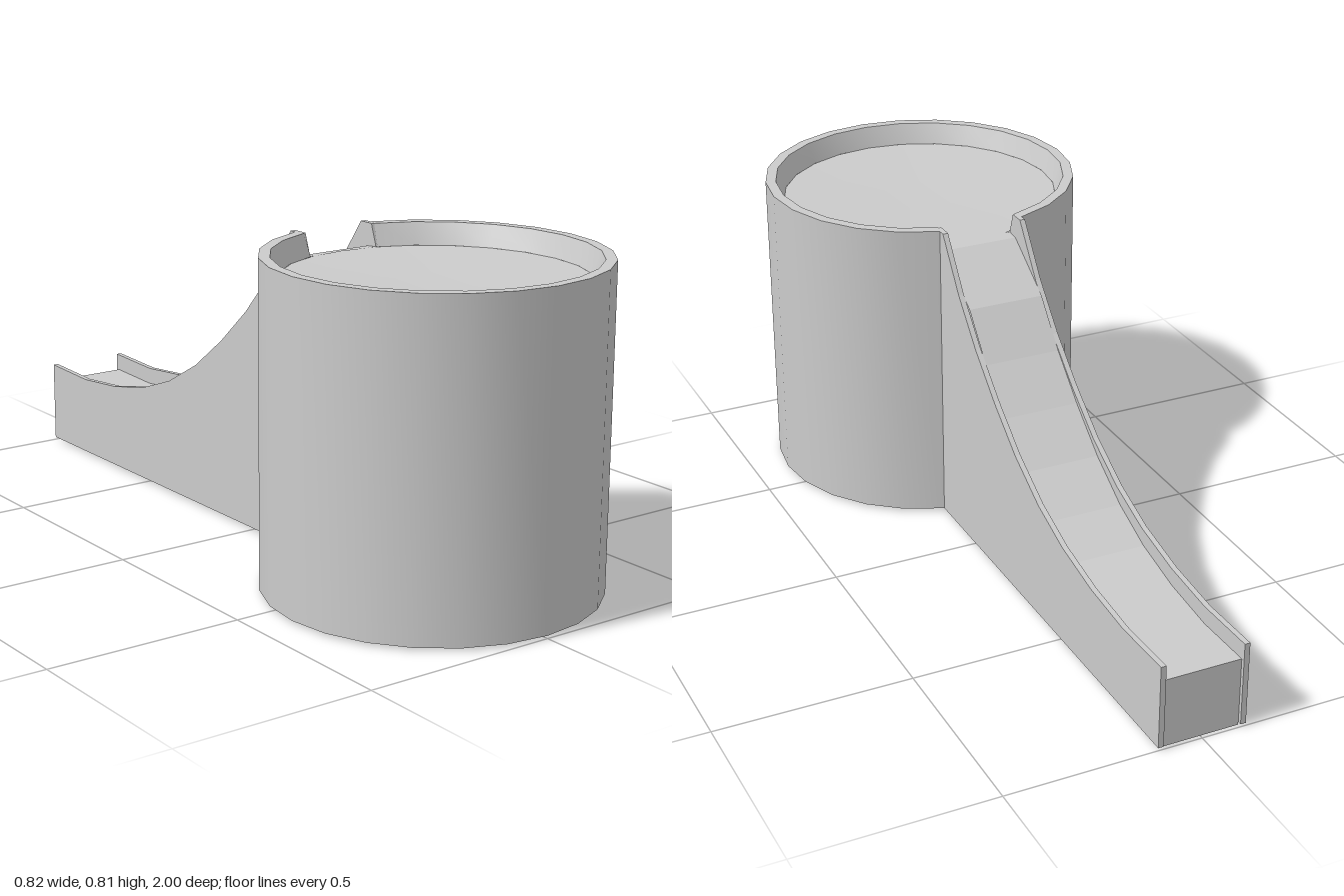
import * as THREE from 'three';
import { toCreasedNormals } from 'three/addons/utils/BufferGeometryUtils.js';

const V = (x, y) => new THREE.Vector2(x, y);

export function createModel() {
  const group = new THREE.Group();
  const smooth = new THREE.MeshStandardMaterial({ color: 0xcccccc, side: THREE.DoubleSide });
  const flat = new THREE.MeshStandardMaterial({ color: 0xcccccc, side: THREE.DoubleSide, flatShading: true });
  const add = (name, geometry, material) => {
    const mesh = new THREE.Mesh(geometry, material);
    mesh.name = name;
    group.add(mesh);
    return mesh;
  };

  const towerZ = 0.588, inner = 0.1, outer = 0.114, bottom = 0.007;

  // Hollow tower shell with a rim, left open where the slide joins
  const gap = Math.asin(outer / 0.412);
  const shell = new THREE.LatheGeometry(
    [V(0.412, bottom), V(0.412, 0.81), V(0.385, 0.81), V(0.365, 0.755)],
    22, Math.PI + gap, 2 * Math.PI - 2 * gap);
  add('towerShell', toCreasedNormals(shell, 0.5), smooth).position.z = towerZ;

  // Shallow dished platform inside the rim
  const dish = new THREE.LatheGeometry([V(0.365, 0.755), V(0.1, 0.746), V(0, 0.746)], 24);
  add('platform', dish, smooth).position.z = towerZ;

  // Top edge of the slide walls, as (z, y)
  const edge = [
    V(0.173, 0.81), V(0.08, 0.68), V(-0.02, 0.572), V(-0.13, 0.475), V(-0.25, 0.385),
    V(-0.38, 0.313), V(-0.51, 0.266), V(-0.66, 0.235), V(-0.82, 0.22), V(-1, 0.225),
  ];

  // Side walls
  const wallShape = new THREE.Shape([
    V(0.2, bottom), V(0.2, 0.7), V(0.234, 0.755), V(0.215, 0.81), ...edge, V(-1, bottom),
  ]);
  for (const [name, x] of [['leftSlideWall', outer], ['rightSlideWall', -inner]]) {
    const wall = new THREE.ExtrudeGeometry(wallShape, { depth: outer - inner, bevelEnabled: false });
    wall.rotateY(-Math.PI / 2);
    add(name, wall, flat).position.x = x;
  }

  // Slide bed: wall edge offset along its normal, ending in a vertical panel
  const bed = [V(0.234, 0.755), V(0.2, 0.752)];
  for (let i = 1; i < edge.length - 1; i++) {
    const t = edge[i + 1].clone().sub(edge[i - 1]).normalize();
    bed.push(V(edge[i].x + t.y * 0.045, edge[i].y - t.x * -0.045));
  }
  bed.push(V(-0.99, 0.18), V(-0.99, 0));
  const bedGeometry = new THREE.PlaneGeometry(2 * inner, 1, 1, bed.length - 1);
  const pos = bedGeometry.attributes.position;
  for (let i = 0; i < pos.count; i++) {
    const p = bed[bed.length - 1 - Math.floor(i / 2)];
    pos.setXYZ(i, pos.getX(i), p.y, p.x);
  }
  bedGeometry.computeVertexNormals();
  add('slideBed', bedGeometry, flat);

  return group;
}
